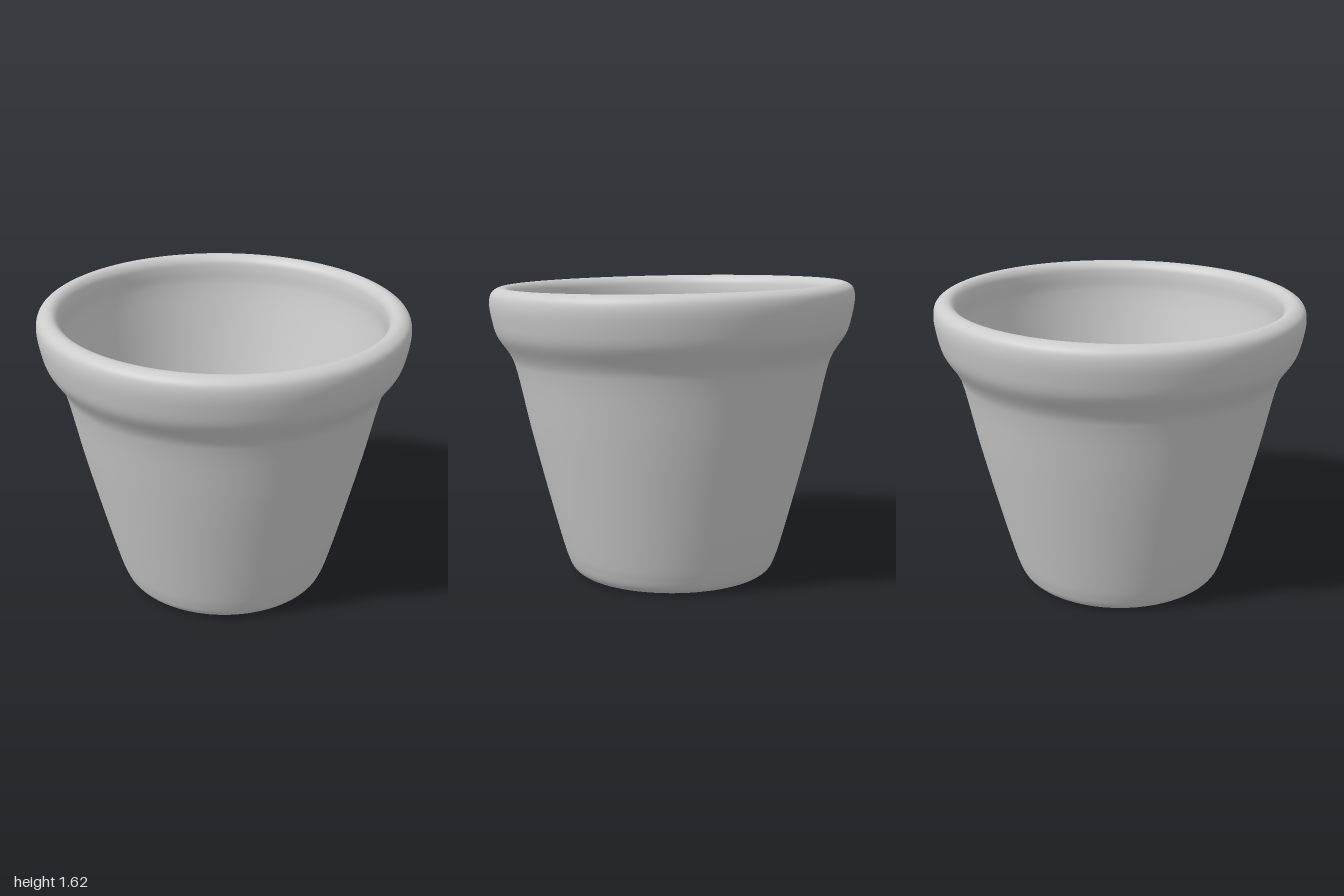
import * as THREE from 'three';

// Half section [radius, height]: underside, outer wall, collar, lip, inner wall, floor
const PROFILE = [
  [0, 0.03], [0.3, 0.027], [0.44, 0.012], [0.52, 0.008], [0.56, 0.035], [0.59, 0.1],
  [0.615, 0.18], [0.69, 0.46], [0.78, 0.82], [0.865, 1.19], [0.89, 1.245],
  [0.955, 1.345], [0.98, 1.43], [0.993, 1.53], [0.98, 1.58], [0.94, 1.605],
  [0.905, 1.602], [0.878, 1.575], [0.868, 1.53], [0.862, 1.44], [0.81, 1.2],
  [0.71, 0.8], [0.59, 0.36], [0.55, 0.24], [0.5, 0.18], [0.42, 0.155],
  [0.25, 0.15], [0, 0.15],
];

export function createModel() {
  const group = new THREE.Group();
  group.name = 'flowerPot';

  // Smooth curve through the section, spun around the vertical axis
  const curve = new THREE.CatmullRomCurve3(
    PROFILE.map(([r, y]) => new THREE.Vector3(r, y, 0)), false, 'centripetal');
  const points = curve.getPoints((PROFILE.length - 1) * 5)
    .map((p) => new THREE.Vector2(Math.max(p.x, 0), p.y));
  const geometry = new THREE.LatheGeometry(points, 128);

  // Hand-made lean: the rim dips slightly towards the front
  const pos = geometry.attributes.position;
  for (let i = 0; i < pos.count; i++) {
    const y = pos.getY(i);
    const amount = THREE.MathUtils.smoothstep(y, 0.9, 1.6);
    pos.setY(i, y - 0.017 * pos.getZ(i) * amount);
  }

  const pot = new THREE.Mesh(geometry, new THREE.MeshStandardMaterial({ color: 0xcccccc }));
  pot.name = 'potBody';
  group.add(pot);
  return group;
}
